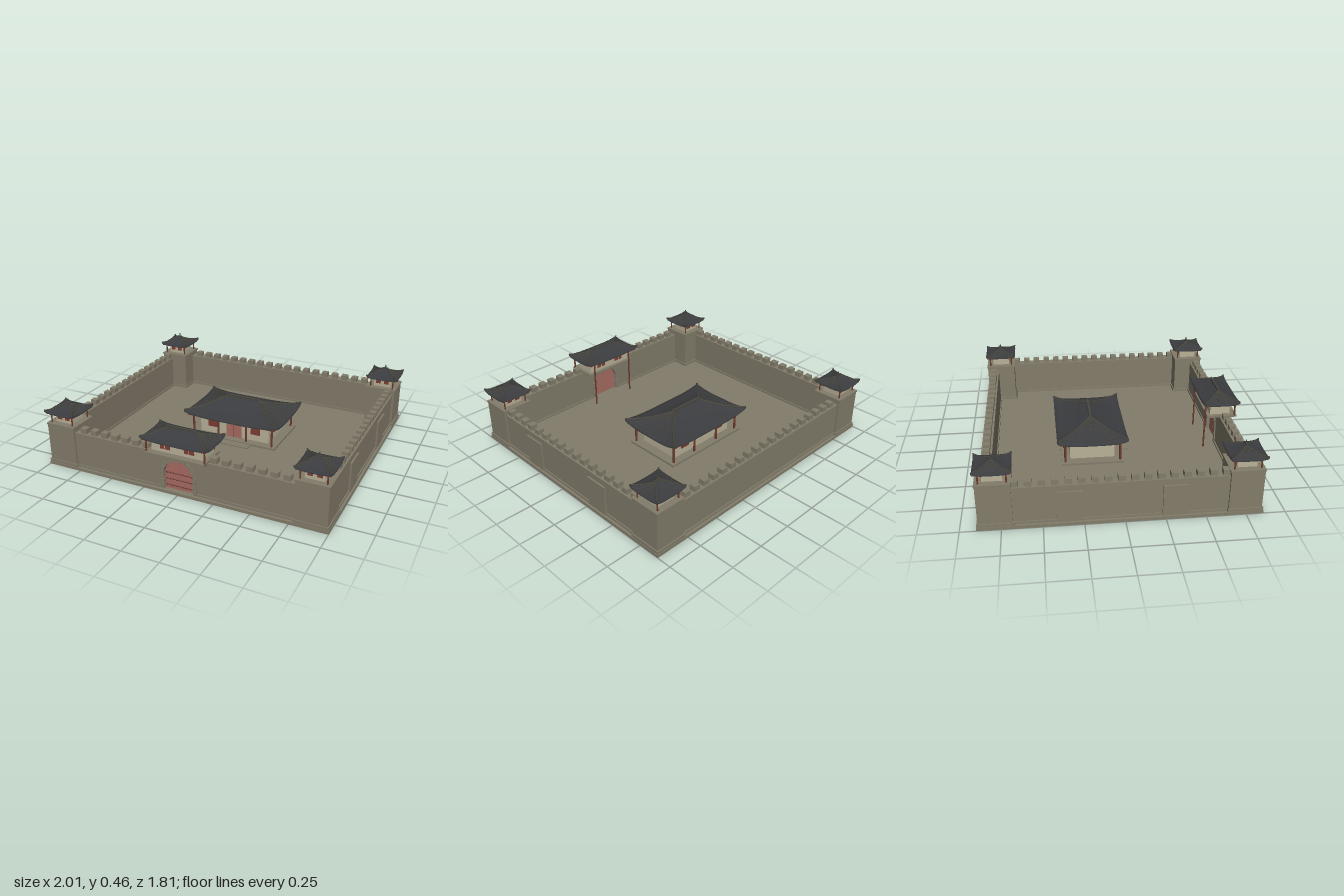
import * as THREE from 'three';

const mat = (name, color, side = THREE.FrontSide) => {
  const m = new THREE.MeshStandardMaterial({ color, side });
  m.name = name;
  return m;
};

export function createModel() {
  const M = {
    stone: mat('stone', 0x827c6a),
    slate: mat('roof slate', 0x3b3c3f, THREE.DoubleSide),
    ridge: mat('roof ridge', 0x48473f),
    wood: mat('red brown wood', 0x6e3b2d),
    door: mat('door red', 0xa86c62),
    plaster: mat('plaster', 0xb9b098),
    window: mat('window red', 0x7d3d32),
    stud: mat('door fittings', 0x6d4038),
  };
  const model = new THREE.Group();
  model.name = 'walledCourtyard';

  const add = (parent, name, geo, material, x = 0, y = 0, z = 0) => {
    const mesh = new THREE.Mesh(geo, material);
    mesh.name = name;
    mesh.position.set(x, y, z);
    parent.add(mesh);
    return mesh;
  };
  // box given by its centre in x and z and its bottom and top heights
  const box = (parent, name, material, x, z, w, d, y0, y1) =>
    add(parent, name, new THREE.BoxGeometry(w, y1 - y0, d), material, x, (y0 + y1) / 2, z);
  const post = (parent, name, x, z, y0, y1, r = 0.006) =>
    add(parent, name, new THREE.CylinderGeometry(r, r, y1 - y0, 8), M.wood, x, (y0 + y1) / 2, z);
  const group = (name, x, z) => {
    const g = new THREE.Group();
    g.name = name;
    g.position.set(x, 0, z);
    model.add(g);
    return g;
  };

  // concave hipped roof with upturned corners, hip ridges and tile ribs
  function roof(parent, { w, d, ridge, y, h, curl, r }) {
    const point = (k, s, t) => {
      const hx = THREE.MathUtils.lerp(w, ridge, t), hz = d * (1 - t);
      const py = y + h * Math.pow(t, 1.45) + curl * Math.pow(Math.abs(s), 4) * (1 - t) ** 2;
      const sign = k < 2 ? 1 : -1;
      return k % 2 ? new THREE.Vector3(hx * sign, py, -s * hz * sign)
        : new THREE.Vector3(s * hx * sign, py, hz * sign);
    };
    const n = 16, m = 8;
    for (let k = 0; k < 4; k++) {
      const pos = [], idx = [];
      for (let j = -1; j <= m; j++) for (let i = 0; i <= n; i++) {
        const p = point(k, (i / n) * 2 - 1, Math.max(j, 0) / m);
        if (j < 0) p.y -= r * 2;
        pos.push(p.x, p.y, p.z);
      }
      for (let j = 0; j <= m; j++) for (let i = 0; i < n; i++) {
        const a = j * (n + 1) + i, b = a + n + 1;
        idx.push(a, a + 1, b + 1, a, b + 1, b);
      }
      const geo = new THREE.BufferGeometry();
      geo.setAttribute('position', new THREE.Float32BufferAttribute(pos, 3));
      geo.setIndex(idx);
      geo.computeVertexNormals();
      add(parent, 'roofSlope', geo, M.slate);

      const line = (s, radius, name) => {
        const pts = [0, 0.2, 0.4, 0.6, 0.8, 1].map((t) => point(k, s, t));
        add(parent, name, new THREE.TubeGeometry(new THREE.CatmullRomCurve3(pts), 12, radius, 5), M.ridge);
      };
      line(1, r, 'hipRidge');
      if (k % 2) for (let i = -4; i <= 4; i++) line(i / 5, r * 0.35, 'tileRib');
    }
    box(parent, 'ridgeBeam', M.ridge, 0, 0, ridge * 2 + r * 2, r * 2, y + h - r, y + h + r * 1.6);
    // wooden soffit and eave beam
    box(parent, 'soffit', M.wood, 0, 0, w * 1.88, d * 1.88, y - r * 2, y - r);
  }

  // ---- ground and outer walls
  box(model, 'groundSlab', M.stone, 0, -0.02, 2, 1.76, 0, 0.02);
  const zBack = -0.84, zFront = 0.8, xSide = 0.94;
  box(model, 'backWall', M.stone, 0, zBack, 1.6, 0.07, 0.02, 0.27);
  box(model, 'backPlinth', M.stone, 0, zBack, 1.6, 0.085, 0.02, 0.035);
  for (const s of [-1, 1]) {
    box(model, 'sideWall', M.stone, s * xSide, -0.015, 0.07, 1.36, 0.02, 0.27);
    box(model, 'sidePlinth', M.stone, s * xSide, -0.015, 0.085, 1.36, 0.02, 0.035);
    box(model, 'frontPlinth', M.stone, s * 0.465, zFront, 0.67, 0.085, 0.02, 0.035);
    for (const z of [-0.34, 0.31])
      box(model, 'buttress', M.stone, s * 0.975, z, 0.024, 0.16, 0.02, 0.23);
  }

  // front wall with arched gateway
  const R = 0.105, spring = 0.13;
  const wall = new THREE.Shape();
  wall.moveTo(-0.8, 0.02);
  wall.lineTo(-R, 0.02);
  wall.lineTo(-R, spring);
  wall.absarc(0, spring, R, Math.PI, 0, true);
  wall.lineTo(R, 0.02);
  wall.lineTo(0.8, 0.02);
  wall.lineTo(0.8, 0.27);
  wall.lineTo(-0.8, 0.27);
  add(model, 'frontWall', new THREE.ExtrudeGeometry(wall, { depth: 0.07, bevelEnabled: false, curveSegments: 20 }),
    M.stone, 0, 0, zFront - 0.035);

  // merlons
  const merlon = (x, z) => box(model, 'merlon', M.stone, x, z, 0.045, 0.045, 0.27, 0.305);
  for (let i = -9; i <= 9; i++) {
    merlon(i * 0.08, zBack);
    if (Math.abs(i) > 2) merlon(i * 0.08, zFront);
  }
  for (let i = 0; i < 17; i++) for (const s of [-1, 1]) merlon(s * xSide, 0.62 - i * 0.08);

  // ---- corner towers
  for (const x of [-0.885, 0.885]) for (const z of [-0.785, 0.745]) {
    const t = group('cornerTower', x, z);
    box(t, 'towerBody', M.stone, 0, 0, 0.21, 0.21, 0.02, 0.3);
    box(t, 'towerPlinth', M.stone, 0, 0, 0.224, 0.224, 0.02, 0.04);
    box(t, 'towerCap', M.stone, 0, 0, 0.218, 0.218, 0.298, 0.31);
    box(t, 'towerRoom', M.plaster, 0, 0, 0.125, 0.125, 0.31, 0.385);
    box(t, 'lintel', M.wood, 0, 0, 0.18, 0.18, 0.372, 0.38);
    for (const a of [-1, 1]) for (const b of [-1, 1]) {
      post(t, 'towerPost', a * 0.083, b * 0.083, 0.31, 0.38, 0.005);
      box(t, 'towerWindow', M.window, a * 0.03, b * 0.064, 0.034, 0.006, 0.333, 0.367);
    }
    roof(t, { w: 0.115, d: 0.115, ridge: 0.016, y: 0.387, h: 0.045, curl: 0.014, r: 0.005 });
    add(t, 'finial', new THREE.CylinderGeometry(0.003, 0.007, 0.03, 8), M.ridge, 0, 0.447, 0);
  }

  // ---- gate: double doors, studs and stone arch
  const gate = group('gate', 0, zFront);
  const leaf = new THREE.Shape();
  leaf.moveTo(0.001, 0.02);
  leaf.lineTo(R, 0.02);
  leaf.lineTo(R, spring);
  leaf.absarc(0, spring, R, 0, Math.PI / 2 - 0.01, false);
  const leafGeo = new THREE.ExtrudeGeometry(leaf, { depth: 0.04, bevelEnabled: false, curveSegments: 12 });
  add(gate, 'doorLeaf', leafGeo, M.door, 0, 0, -0.02);
  add(gate, 'doorLeaf', leafGeo, M.door, 0, 0, 0.02).rotation.y = Math.PI;
  for (const y of [0.045, 0.09, 0.135]) {
    box(gate, 'doorBand', M.stud, 0, 0.021, 0.2, 0.004, y - 0.002, y + 0.002);
    for (let i = -4; i <= 4; i++)
      if (i) add(gate, 'doorStud', new THREE.SphereGeometry(0.005, 8, 6), M.stud, i * 0.022, y, 0.023);
  }
  for (let i = 0; i <= 10; i++) {
    const a = (i / 10) * Math.PI;
    const v = add(gate, 'archStone', new THREE.BoxGeometry(0.022, 0.033, 0.085), M.stone,
      Math.cos(a) * 0.114, spring + Math.sin(a) * 0.114, 0);
    v.rotation.z = a;
  }
  for (const s of [-1, 1]) for (let i = 0; i < 3; i++)
    box(gate, 'jambStone', M.stone, s * 0.114, 0, 0.022 + (i % 2) * 0.008, 0.085, 0.02 + i * 0.035, 0.053 + i * 0.035);

  // ---- gatehouse above the gate
  const house = group('gatehouse', 0, 0.77);
  box(house, 'gatehouseFloor', M.stone, 0, 0.01, 0.42, 0.21, 0.268, 0.283);
  box(house, 'gatehouseRoom', M.plaster, 0, 0, 0.37, 0.14, 0.283, 0.375);
  for (const b of [-1, 1]) {
    box(house, 'eaveBeam', M.wood, 0, b * 0.1, 0.42, 0.008, 0.356, 0.366);
    for (const a of [-1, 1]) {
      box(house, 'gatehouseWindow', M.window, a * 0.085, b * 0.072, 0.07, 0.006, 0.307, 0.347);
      box(house, 'windowBar', M.plaster, a * 0.085, b * 0.0745, 0.005, 0.004, 0.307, 0.347);
      box(house, 'sideBeam', M.wood, a * 0.205, 0, 0.008, 0.2, 0.356, 0.366);
    }
  }
  for (const a of [-1, 1]) {
    post(house, 'frontPost', a * 0.205, 0.1, 0.27, 0.37);
    post(house, 'rearPost', a * 0.17, -0.1, 0.02, 0.37);
  }
  roof(house, { w: 0.236, d: 0.128, ridge: 0.1, y: 0.377, h: 0.052, curl: 0.016, r: 0.006 });
  for (const a of [-1, 1])
    add(house, 'ridgeOrnament', new THREE.ConeGeometry(0.008, 0.022, 6), M.ridge, a * 0.105, 0.435, 0);

  // ---- main hall in the courtyard
  const hall = group('mainHall', 0, -0.14);
  box(hall, 'terrace', M.stone, 0, 0, 0.68, 0.43, 0.02, 0.035);
  box(hall, 'step', M.stone, 0, 0.24, 0.31, 0.065, 0.02, 0.028);
  box(hall, 'hallRoom', M.plaster, 0, 0, 0.54, 0.31, 0.035, 0.19);
  box(hall, 'hallDoor', M.door, 0, 0.157, 0.12, 0.008, 0.035, 0.155);
  box(hall, 'doorSeam', M.stud, 0, 0.161, 0.004, 0.004, 0.035, 0.155);
  for (const b of [-1, 1]) {
    box(hall, 'eaveBeam', M.wood, 0, b * 0.19, 0.63, 0.01, 0.17, 0.182);
    for (const x of [-0.31, -0.11, 0.11, 0.31]) post(hall, 'hallPost', x, b * 0.19, 0.035, 0.185, 0.008);
    for (const a of [-1, 1])
      box(hall, 'hallWindow', M.window, a * 0.17, b * 0.157, 0.07, 0.008, 0.085, 0.15);
    box(hall, 'sideBeam', M.wood, b * 0.31, 0, 0.01, 0.38, 0.17, 0.182);
  }
  roof(hall, { w: 0.365, d: 0.243, ridge: 0.12, y: 0.192, h: 0.088, curl: 0.025, r: 0.008 });
  for (const a of [-1, 1])
    add(hall, 'ridgeOrnament', new THREE.ConeGeometry(0.012, 0.032, 6), M.ridge, a * 0.125, 0.295, 0);

  return model;
}
